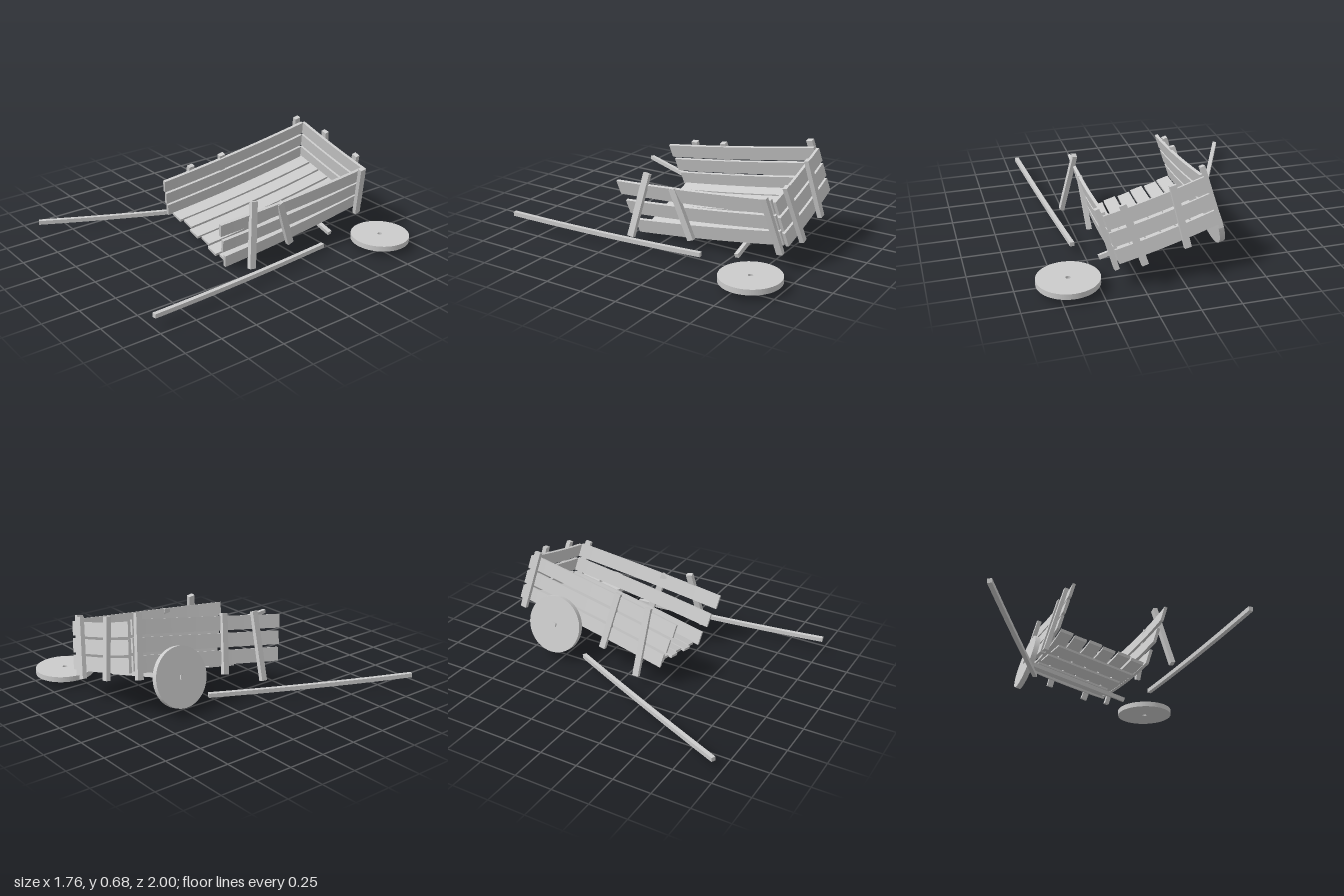
import * as THREE from 'three';

const wood = new THREE.MeshStandardMaterial({ color: 0xcccccc, flatShading: true });
const V = (a) => new THREE.Vector3(...a);

function add(parent, name, geometry) {
  const mesh = new THREE.Mesh(geometry, wood);
  mesh.name = name;
  parent.add(mesh);
  return mesh;
}

// straight or slightly bowed square bar between two points
function bar(parent, name, from, to, width, depth, sag = 0) {
  const p = V(from), q = V(to), length = p.distanceTo(q);
  const g = new THREE.BoxGeometry(width, depth, length, 1, 1, sag ? 10 : 1);
  const up = Math.abs(q.y - p.y) > length * 0.5 ? V([0, 0, 1]) : V([0, 1, 0]);
  const pos = g.attributes.position;
  for (let i = 0; i < pos.count; i++) {
    const t = pos.getZ(i) / length * 2;
    pos.setY(i, pos.getY(i) - sag * (1 - t * t));
  }
  const m = add(parent, name, g);
  m.quaternion.setFromRotationMatrix(new THREE.Matrix4().lookAt(q, p, up));
  m.position.copy(p).lerp(q, 0.5);
  return m;
}

// long warped board: bends sideways toward its front end
function board(parent, name, x, yBack, yFront, sx, sy, z0, z1) {
  const length = z1 - z0;
  const g = new THREE.BoxGeometry(sx, sy, length, 1, 1, 12);
  const pos = g.attributes.position;
  for (let i = 0; i < pos.count; i++) {
    const t = pos.getZ(i) / length + 0.5;
    pos.setX(i, pos.getX(i) + x - 0.055 * t * t);
    pos.setY(i, pos.getY(i) + yBack + (yFront - yBack) * t);
    pos.setZ(i, z0 + length * t);
  }
  g.computeVertexNormals();
  return add(parent, name, g);
}

// solid disc wheel with a hub hole, axis along z
function wheel(parent, name) {
  const disc = new THREE.Shape().absarc(0, 0, 0.195, 0, Math.PI * 2);
  disc.holes.push(new THREE.Path().absarc(0, 0, 0.016, 0, Math.PI * 2, true));
  const g = new THREE.ExtrudeGeometry(disc, { depth: 0.036, bevelEnabled: false, curveSegments: 48 });
  g.translate(0, 0, -0.018);
  return add(parent, name, g);
}

export function createModel() {
  const root = new THREE.Group();
  root.name = 'brokenCart';

  // tilted cart body
  const cart = new THREE.Group();
  cart.name = 'cartBody';
  const w = V([-0.012, -0.177, 0.98]).normalize();
  const v = w.clone().cross(V([0.964, -0.263, 0.01])).normalize();
  const u = v.clone().cross(w);
  cart.quaternion.setFromRotationMatrix(new THREE.Matrix4().makeBasis(u, v, w));
  cart.position.set(0.075, 0.19, -0.31);
  root.add(cart);

  // floor planks
  for (let i = 0; i < 6; i++) {
    board(cart, 'floorPlank', -0.243 + i * 0.1, 0, 0, 0.086, 0.02, -0.56, 0.53 + (i % 2 ? -0.01 : 0.01));
  }
  // wide battens under the floor
  for (const z of [-0.4, -0.12, 0.16]) {
    const batten = add(cart, 'floorBatten', new THREE.BoxGeometry(0.54, 0.014, 0.21));
    batten.position.set(-0.005, -0.017, z);
  }

  // side walls and tail wall, three boards each
  for (let i = 0; i < 3; i++) {
    const y = 0.04 + i * 0.11;
    board(cart, 'rightWallBoard', -0.308, y, y, 0.02, 0.092, -0.56, 0.57 + i * 0.01);
    board(cart, 'leftWallBoard', 0.315, y, 0.05 + i * 0.148, 0.02, 0.098, -0.56, 0.555 + i * 0.02);
    bar(cart, 'tailWallBoard', [-0.315, y - 0.01, -0.58], [0.325, y - 0.01, -0.58], 0.02, 0.092, 0.008);
  }

  // stakes holding the boards
  const stakes = [
    [[-0.335, -0.06, -0.53], [-0.335, 0.345, -0.53]],
    [[-0.345, -0.07, 0.13], [-0.345, 0.325, 0.13]],
    [[-0.375, -0.13, 0.43], [-0.365, 0.33, 0.37]],
    [[0.343, -0.06, -0.53], [0.343, 0.335, -0.53]],
    [[-0.09, -0.07, -0.607], [-0.115, 0.325, -0.607]],
    [[0.185, -0.07, -0.607], [0.2, 0.325, -0.607]],
  ];
  stakes.forEach(([a, b], i) => {
    const tail = i > 3;
    bar(cart, tail ? 'tailStake' : 'sideStake', a, b, tail ? 0.042 : 0.03, tail ? 0.03 : 0.042);
  });

  // axle and the wheel still fitted to it
  bar(cart, 'axle', [-0.39, -0.06, -0.245], [0.39, -0.06, -0.245], 0.028, 0.028);
  const fitted = wheel(cart, 'fittedWheel');
  fitted.position.set(-0.362, -0.06, -0.245);
  fitted.rotation.y = Math.PI / 2;

  // loosened stakes on the left side
  bar(root, 'looseStake', [0.52, 0.075, 0.16], [0.435, 0.49, 0.085], 0.03, 0.045);
  bar(root, 'looseStake', [0.42, 0.1, -0.235], [0.45, 0.43, -0.115], 0.03, 0.045);

  // fallen wheel and shafts
  const fallen = wheel(root, 'fallenWheel');
  fallen.position.set(0.682, 0.083, -0.807);
  fallen.rotation.x = -Math.PI / 2;
  bar(root, 'rightShaft', [-0.285, 0.085, -0.325], [-0.87, 0.085, 0.945], 0.028, 0.028, 0.008);
  bar(root, 'leftShaft', [0.567, 0.092, -0.395], [0.685, 0.112, 1.0], 0.028, 0.028, 0.01);

  return root;
}
